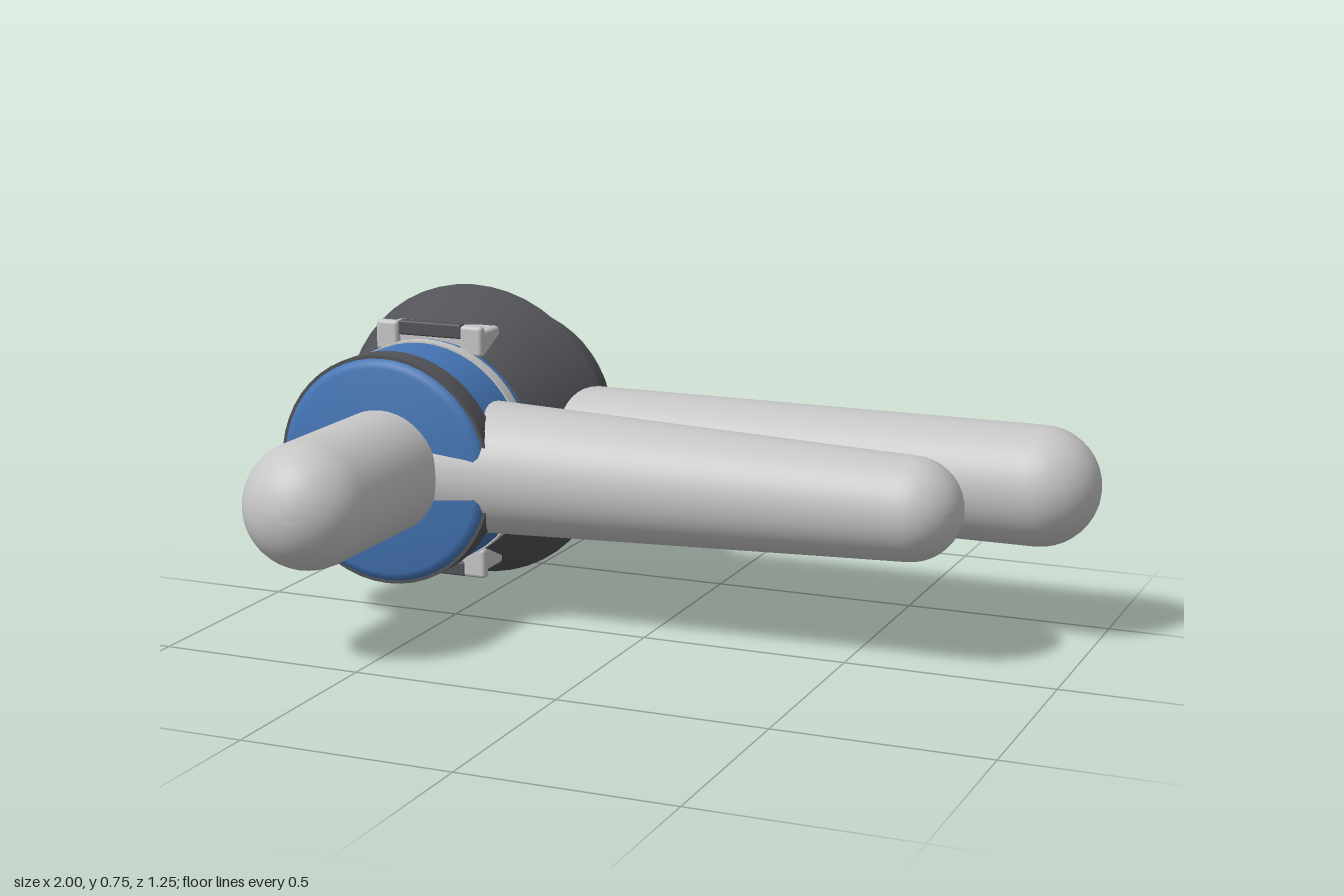
import * as THREE from 'three';
import { toCreasedNormals } from 'three/addons/utils/BufferGeometryUtils.js';
import { RoundedBoxGeometry } from 'three/addons/geometries/RoundedBoxGeometry.js';

const CX = -0.625, CY = 0.38; // axis of the round housing

const material = (name, color) => {
  const m = new THREE.MeshStandardMaterial({ color });
  m.name = name;
  return m;
};

// Profile points are [radius, height along the axis], listed from low to high
function turned(points, segments = 48) {
  const profile = points.map(([r, h]) => new THREE.Vector2(r, h));
  return toCreasedNormals(new THREE.LatheGeometry(profile, segments), 0.6);
}

// Round bar with a domed far end
function domedBar(r0, r1, length) {
  const points = [[0, 0], [r0, 0]];
  for (let i = 0; i <= 10; i++) {
    const a = (i / 10) * Math.PI / 2;
    points.push([i === 10 ? 0 : r1 * Math.cos(a), length + r1 * Math.sin(a)]);
  }
  return turned(points, 40);
}

export function createModel() {
  const model = new THREE.Group();
  const blue = material('blue', 0x4475b5);
  const light = material('light grey', 0xc6c6c6);
  const dark = material('dark grey', 0x525358);

  const add = (parent, name, geometry, mat, x = 0, y = 0, z = 0) => {
    const mesh = new THREE.Mesh(geometry, mat);
    mesh.name = name;
    mesh.position.set(x, y, z);
    parent.add(mesh);
    return mesh;
  };
  const addTurned = (name, points, mat) =>
    add(model, name, turned(points).rotateX(Math.PI / 2), mat, CX, CY, 0);
  const band = (name, z0, z1, r, mat) =>
    addTurned(name, [[0.25, z0], [r, z0], [r, z1], [0.25, z1]], mat);

  // Housing with rounded ends
  addTurned('housing', [
    [0, -0.625], [0.25, -0.625], [0.262, -0.621], [0.271, -0.612], [0.275, -0.6],
    [0.275, 0.105], [0.271, 0.117], [0.262, 0.126], [0.25, 0.13], [0, 0.13],
  ], blue);
  band('frontBand', 0.055, 0.115, 0.28, dark);
  band('backBand', -0.607, -0.55, 0.28, dark);
  band('middleBand', -0.116, -0.084, 0.279, light);

  // Flared collar
  addTurned('collar', [[0.25, -0.372], [0.375, -0.372], [0.278, -0.138], [0.25, -0.138]], dark);

  // Bars: one to the front, two to the side
  add(model, 'frontBar', domedBar(0.15, 0.15, 0.475).rotateX(Math.PI / 2), light, CX, CY, 0);
  add(model, 'taperedArm', domedBar(0.168, 0.121, 1.268).rotateZ(-Math.PI / 2), light, CX, CY, -0.022);
  add(model, 'straightArm', domedBar(0.143, 0.143, 1.482).rotateZ(-Math.PI / 2), light, CX, CY, -0.347);

  // Clips above and below the collar
  for (const side of [1, -1]) {
    const clip = new THREE.Group();
    clip.name = side > 0 ? 'topClip' : 'bottomClip';
    clip.position.set(CX, CY, 0);
    clip.rotation.z = side > 0 ? 0 : Math.PI;
    add(clip, 'clipPlate', new RoundedBoxGeometry(0.28, 0.065, 0.1, 3, 0.01), light, 0, 0.27, -0.187);
    for (const s of [1, -1]) {
      add(clip, 'clipProng', new RoundedBoxGeometry(0.06, 0.076, 0.026, 3, 0.01), light, s * 0.115, 0.279, -0.134);
    }
    add(clip, 'clipBar', new RoundedBoxGeometry(0.172, 0.036, 0.027, 2, 0.005), dark, 0, 0.3, -0.142);
    model.add(clip);
  }

  // Small block on the collar between the arms
  add(model, 'sideBlock', new RoundedBoxGeometry(0.075, 0.175, 0.038, 3, 0.012), dark, -0.323, CY, -0.176);

  return model;
}
